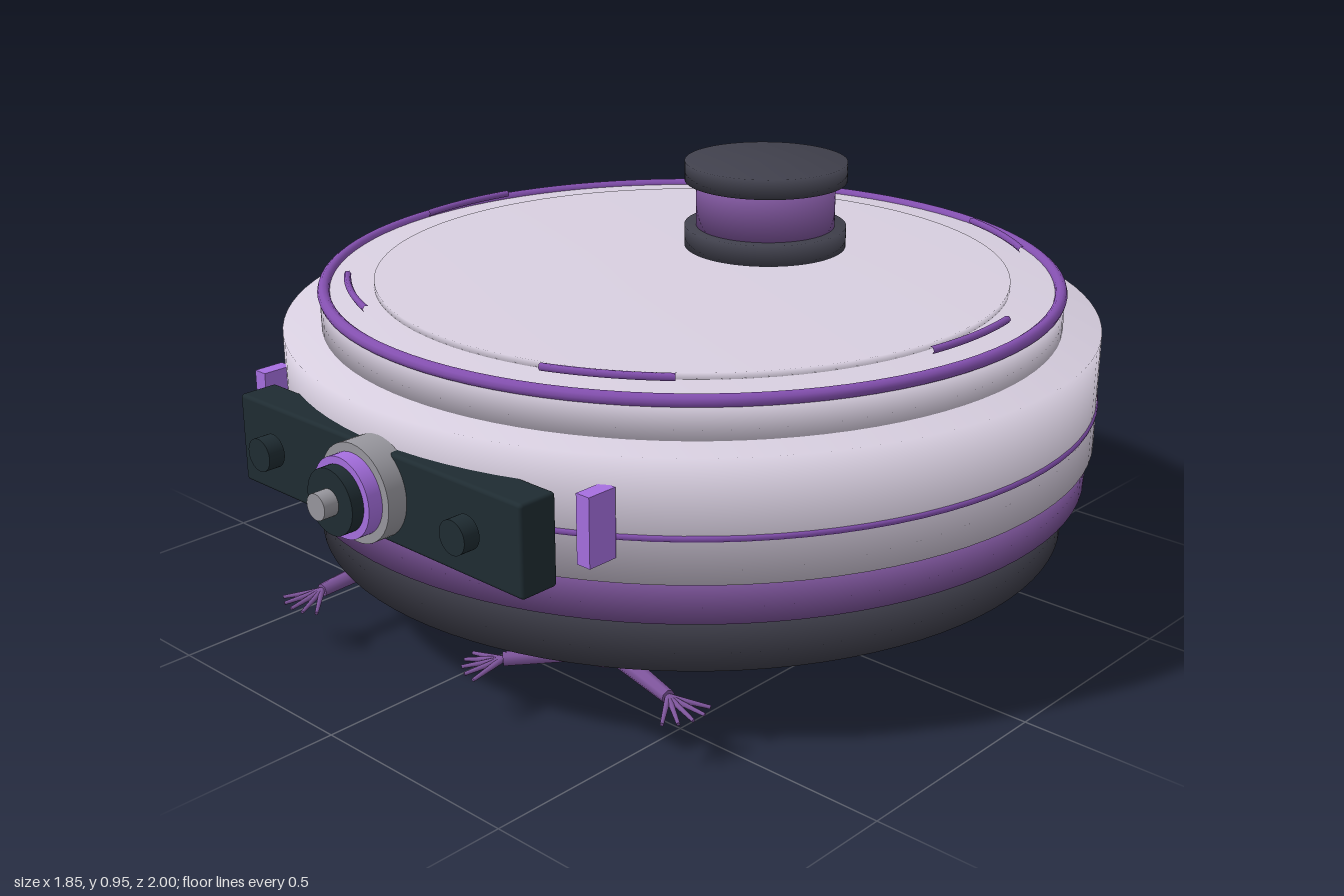
import * as THREE from 'three';
import { RoundedBoxGeometry } from 'three/addons/geometries/RoundedBoxGeometry.js';

const mat = (name, color, side = THREE.FrontSide) => {
  const m = new THREE.MeshStandardMaterial({ color, side });
  m.name = name;
  return m;
};

export function createModel() {
  const shell = mat('pale lilac shell', 0xd8cfe0);
  const purple = mat('purple', 0x7e559c);
  const violet = mat('bright violet', 0xa66fe0);
  const trim = mat('trim purple', 0x8450b0);
  const dark = mat('charcoal', 0x40404c);
  const wheelMat = mat('wheel charcoal', 0x36363f);
  const face = mat('dark slate', 0x1f2c32);
  const grey = mat('grey', 0x98979e);

  const model = new THREE.Group();
  const BZ = -0.08; // centre of the round body

  const add = (name, geo, material, x = 0, y = 0, z = 0, parent = model) => {
    const m = new THREE.Mesh(geo, material);
    m.name = name;
    m.position.set(x, y, z);
    parent.add(m);
    return m;
  };
  // smooth-shaded drum spanning y0..y1
  const drum = (r, y0, y1) => new THREE.LatheGeometry(
    [[0, y0], [r, y0], [r, y1], [0, y1]].map(p => new THREE.Vector2(...p)), 96);
  const zDisc = (name, r, z0, z1, material, x) => {
    const g = new THREE.CylinderGeometry(r, r, z1 - z0, 40).rotateX(Math.PI / 2);
    return add(name, g, material, x, 0.505, (z0 + z1) / 2);
  };
  // thin rod between two points
  const rod = (name, a, b, r0, r1, material, parent) => {
    const d = b.clone().sub(a);
    const m = add(name, new THREE.CylinderGeometry(r1, r0, d.length(), 8), material, 0, 0, 0, parent);
    m.position.copy(a).add(b).multiplyScalar(0.5);
    m.quaternion.setFromUnitVectors(new THREE.Vector3(0, 1, 0), d.normalize());
  };

  // stacked round body
  add('bottomPlate', drum(0.745, 0.145, 0.2), dark, 0, 0, BZ);
  add('base', drum(0.86, 0.185, 0.315), dark, 0, 0, BZ);
  add('lowerBand', drum(0.905, 0.31, 0.41), purple, 0, 0, BZ);
  add('upperShell', drum(0.92, 0.4, 0.66), shell, 0, 0, BZ);
  add('topDeck', drum(0.835, 0.65, 0.74), shell, 0, 0, BZ);
  add('lid', drum(0.715, 0.73, 0.754), shell, 0, 0, BZ);

  // trim rings
  const ring = (name, R, t, y) =>
    add(name, new THREE.TorusGeometry(R, t, 10, 96).rotateX(Math.PI / 2), trim, 0, y, BZ);
  ring('topRing', 0.826, 0.014, 0.738);
  ring('waistRing', 0.916, 0.008, 0.496);

  // six short accent arcs on the deck
  const arc = Math.PI / 9;
  for (let i = 0; i < 6; i++) {
    const g = new THREE.TorusGeometry(0.772, 0.008, 6, 14, arc);
    g.rotateZ(-arc / 2).rotateX(Math.PI / 2).rotateY(i * Math.PI / 3);
    add('accentArc', g, trim, 0, 0.766, BZ);
  }

  // turret
  add('turretFoot', drum(0.19, 0.75, 0.803), dark, 0, 0, -0.337);
  add('turretNeck', drum(0.163, 0.8, 0.912), purple, 0, 0, -0.337);
  add('turretCap', drum(0.19, 0.91, 0.956), dark, 0, 0, -0.337);

  // front sensor panel and lens
  add('sensorPanel', new RoundedBoxGeometry(0.865, 0.195, 0.09, 3, 0.008), face, 0, 0.495, 0.815);
  zDisc('lensHousing', 0.105, 0.84, 0.905, grey, 0);
  zDisc('lensRing', 0.086, 0.9, 0.938, violet, 0);
  zDisc('lens', 0.07, 0.93, 0.966, face, 0);
  zDisc('lensTip', 0.028, 0.96, 1.0, grey, 0);
  for (const s of [-1, 1]) {
    zDisc('sensorEye', 0.036, 0.877, 0.915, face, s * 0.3);
    add('sideLight', new THREE.BoxGeometry(0.034, 0.145, 0.07), violet, s * 0.495, 0.528, 0.728);
    add('wheel', new THREE.CylinderGeometry(0.15, 0.15, 0.135, 32).rotateZ(Math.PI / 2),
      wheelMat, s * 0.588, 0.215, -0.075);
  }

  // roller frame
  const rect = (P, w, h) => {
    const p = new P();
    p.moveTo(-w, -h); p.lineTo(w, -h); p.lineTo(w, h); p.lineTo(-w, h); p.closePath();
    return p;
  };
  const frame = rect(THREE.Shape, 0.445, 0.15);
  frame.holes.push(rect(THREE.Path, 0.415, 0.115));
  add('rollerFrame', new THREE.ExtrudeGeometry(frame, { depth: 0.05, bevelEnabled: false })
    .rotateX(Math.PI / 2), grey, 0, 0.15, -0.075);

  // roller with a twisting set of bristles
  const roller = new THREE.Group();
  roller.name = 'roller';
  roller.position.set(0, 0.115, -0.075);
  model.add(roller);
  add('rollerCore', new THREE.CylinderGeometry(0.08, 0.08, 0.8, 32).rotateZ(Math.PI / 2),
    purple, 0, 0, 0, roller);
  for (let row = 0; row < 4; row++) {
    for (let i = 0; i < 7; i++) {
      const a = row * Math.PI / 2 + i * 0.28;
      const x = -0.35 + i * 0.115;
      if (Math.cos(a) > 0.3) continue; // inside the body
      const at = r => new THREE.Vector3(x, Math.cos(a) * r, Math.sin(a) * r);
      rod('rollerBristle', at(0.07), at(0.112), 0.005, 0.005, purple, roller);
    }
  }

  // side brushes: three arms ending in fanned bristles
  for (const [x, start] of [[0.335, 12], [-0.335, 90]]) {
    const brush = new THREE.Group();
    brush.name = 'sideBrush';
    brush.position.set(x, 0, 0.54);
    model.add(brush);
    add('brushHub', new THREE.CylinderGeometry(0.055, 0.055, 0.025, 24), purple, 0, 0.14, 0, brush);
    add('brushPin', new THREE.CylinderGeometry(0.03, 0.03, 0.06, 16), purple, 0, 0.165, 0, brush);
    for (let k = 0; k < 3; k++) {
      const a = THREE.MathUtils.degToRad(start + k * 120);
      const end = new THREE.Vector3(Math.cos(a) * 0.215, 0.128, Math.sin(a) * 0.215);
      rod('brushArm', new THREE.Vector3(0, 0.142, 0), end, 0.022, 0.015, purple, brush);
      for (let j = -2; j <= 2; j++) {
        const b = a + j * 0.38;
        const tip = end.clone().add(new THREE.Vector3(Math.cos(b) * 0.085, -0.014, Math.sin(b) * 0.085));
        rod('brushBristle', end, tip, 0.007, 0.004, purple, brush);
      }
    }
  }
  return model;
}
